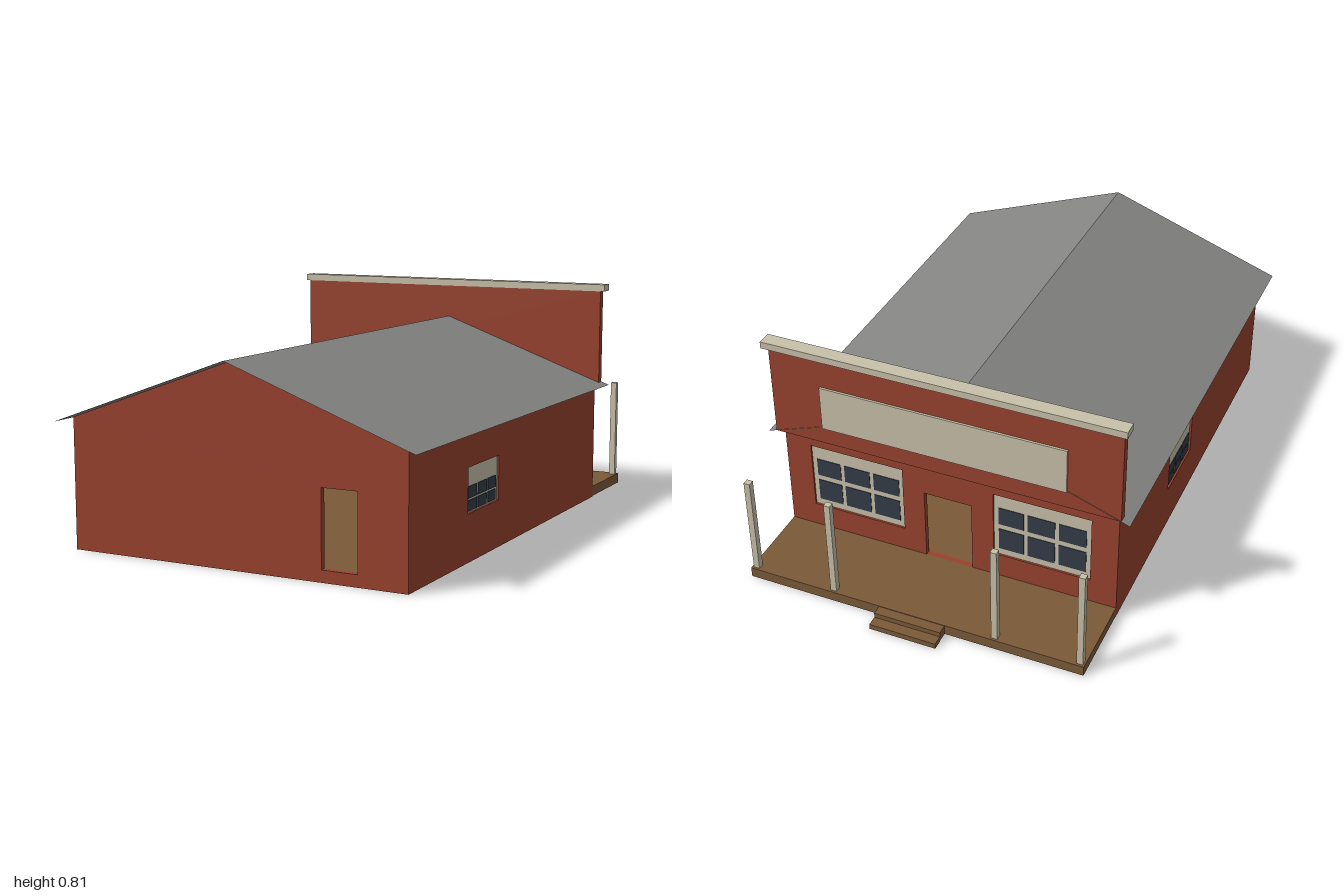
import * as THREE from 'three';

const mat = (name, color, side = THREE.FrontSide) => {
  const m = new THREE.MeshStandardMaterial({ color, side });
  m.name = name;
  return m;
};

export function createModel() {
  const red = mat('brick red', 0x97412d);
  const cream = mat('cream trim', 0xc8c0aa);
  const brown = mat('brown wood', 0x7a5a38);
  const grey = mat('grey roofing', 0x858583, THREE.DoubleSide);
  const glass = mat('dark glass', 0x343c49);

  const model = new THREE.Group();
  model.name = 'shopBuilding';
  const add = (name, geometry, material, parent = model) => {
    const mesh = new THREE.Mesh(geometry, material);
    mesh.name = name;
    parent.add(mesh);
    return mesh;
  };
  // Box given by its lower and upper corners
  const box = (name, material, [x0, y0, z0], [x1, y1, z1], parent = model) => {
    const mesh = add(name, new THREE.BoxGeometry(x1 - x0, y1 - y0, z1 - z0), material, parent);
    mesh.position.set((x0 + x1) / 2, (y0 + y1) / 2, (z0 + z1) / 2);
    return mesh;
  };
  // Wall outline with rectangular openings [x0, y0, x1, y1]
  const T = 0.02;
  const wall = (outline, openings) => {
    const shape = new THREE.Shape(outline.map(p => new THREE.Vector2(...p)));
    for (const [a, b, c, d] of openings) {
      shape.holes.push(new THREE.Path([[a, b], [a, d], [c, d], [c, b]].map(p => new THREE.Vector2(...p))));
    }
    return new THREE.ExtrudeGeometry(shape, { depth: T, bevelEnabled: false });
  };

  const W = 0.61, FRONT = 0.955, BACK = -0.63;
  const rearWindow = [0.167, 0.13, 0.515, 0.385];
  const mirrored = [-0.515, 0.13, -0.167, 0.385];

  // Gabled end walls
  const gable = [[-W, 0], [W, 0], [W, 0.443], [0, 0.662], [-W, 0.443]];
  add('frontWall', wall(gable, [[0.315, 0.04, 0.44, 0.295]]), red).position.z = FRONT - T;
  add('rearWall', wall(gable, [[-0.087, 0.04, 0.087, 0.31], rearWindow, mirrored]), red).position.z = BACK;

  // Side walls, each with one window opening
  const sideOutline = [[BACK + T, 0], [FRONT - T, 0], [FRONT - T, 0.443], [BACK + T, 0.443]];
  const sideWindows = { 1: [0.285, 0.16, 0.53, 0.31], '-1': [-0.11, 0.16, 0.14, 0.31] };
  for (const s of [1, -1]) {
    const geo = wall(sideOutline, [sideWindows[s]]).rotateY(-Math.PI / 2);
    add(s > 0 ? 'leftWall' : 'rightWall', geo, red).position.x = s > 0 ? W : -W + T;
  }

  // Window: cream board with dark panes in two rows of three
  const makeWindow = (name, w, h, rows) => {
    const group = new THREE.Group();
    group.name = name;
    box('windowFrame', cream, [-w / 2, 0, -0.004], [w / 2, h, 0.004], group);
    for (const [y0, y1] of rows) {
      for (const [a, b] of [[0.05, 0.33], [0.37, 0.65], [0.69, 0.95]]) {
        box('windowPane', glass, [(a - 0.5) * w, y0 * h, -0.006], [(b - 0.5) * w, y1 * h, 0.006], group);
      }
    }
    model.add(group);
    return group;
  };
  for (const s of [1, -1]) {
    const rear = makeWindow('shopWindow', 0.348, 0.255, [[0.1, 0.43], [0.51, 0.78]]);
    rear.position.set(s * 0.341, 0.13, BACK + 0.011);
    const [z0, y0, z1, y1] = sideWindows[s];
    const side = makeWindow('sideWindow', z1 - z0, y1 - y0, [[0.03, 0.27], [0.31, 0.57]]);
    side.position.set(s * (W - 0.011), y0, (z0 + z1) / 2);
    side.rotation.y = Math.PI / 2;
  }

  // Thin pitched roof
  const X = 0.655, EAVE = 0.43, RIDGE = 0.666, Z0 = -0.662, Z1 = 1;
  for (const s of [1, -1]) {
    const geo = new THREE.BufferGeometry();
    geo.setAttribute('position', new THREE.Float32BufferAttribute(
      [0, RIDGE, Z0, 0, RIDGE, Z1, s * X, EAVE, Z1, s * X, EAVE, Z0], 3));
    geo.setIndex(s > 0 ? [0, 1, 2, 0, 2, 3] : [0, 2, 1, 0, 3, 2]);
    geo.computeVertexNormals();
    add('roofSlope', geo, grey);
  }

  // Raised false front with coping and blank sign board
  box('falseFront', red, [-0.625, 0.44, -0.66], [0.625, 0.787, BACK - 0.001]);
  box('coping', cream, [-0.64, 0.785, -0.682], [0.64, 0.81, BACK]);
  box('signBoard', cream, [-0.44, 0.505, -0.668], [0.44, 0.67, -0.66]);

  // Floor and foundation lining
  const I = W - T;
  box('floor', brown, [-I, 0.03, BACK + T], [I, 0.04, FRONT - T]);
  for (const s of [1, -1]) {
    const x = s * (I - 0.003);
    box('foundationSide', cream, [x - 0.003, 0.001, BACK + T], [x + 0.003, 0.03, FRONT - T]);
    const z = s > 0 ? FRONT - T - 0.003 : BACK + T + 0.003;
    box('foundationEnd', cream, [-I, 0.001, z - 0.003], [I, 0.03, z + 0.003]);
  }

  // Porch deck, steps and posts
  box('porchDeck', brown, [-W, 0.003, -0.928], [W, 0.04, BACK]);
  box('upperStep', brown, [-0.12, 0.003, -0.963], [0.12, 0.038, -0.928]);
  box('lowerStep', brown, [-0.12, 0, -1], [0.12, 0.02, -0.963]);
  for (const x of [-0.593, -0.295, 0.295, 0.593]) {
    box('porchPost', cream, [x - 0.011, 0.04, -0.92], [x + 0.011, 0.405, -0.898]);
  }
  return model;
}
